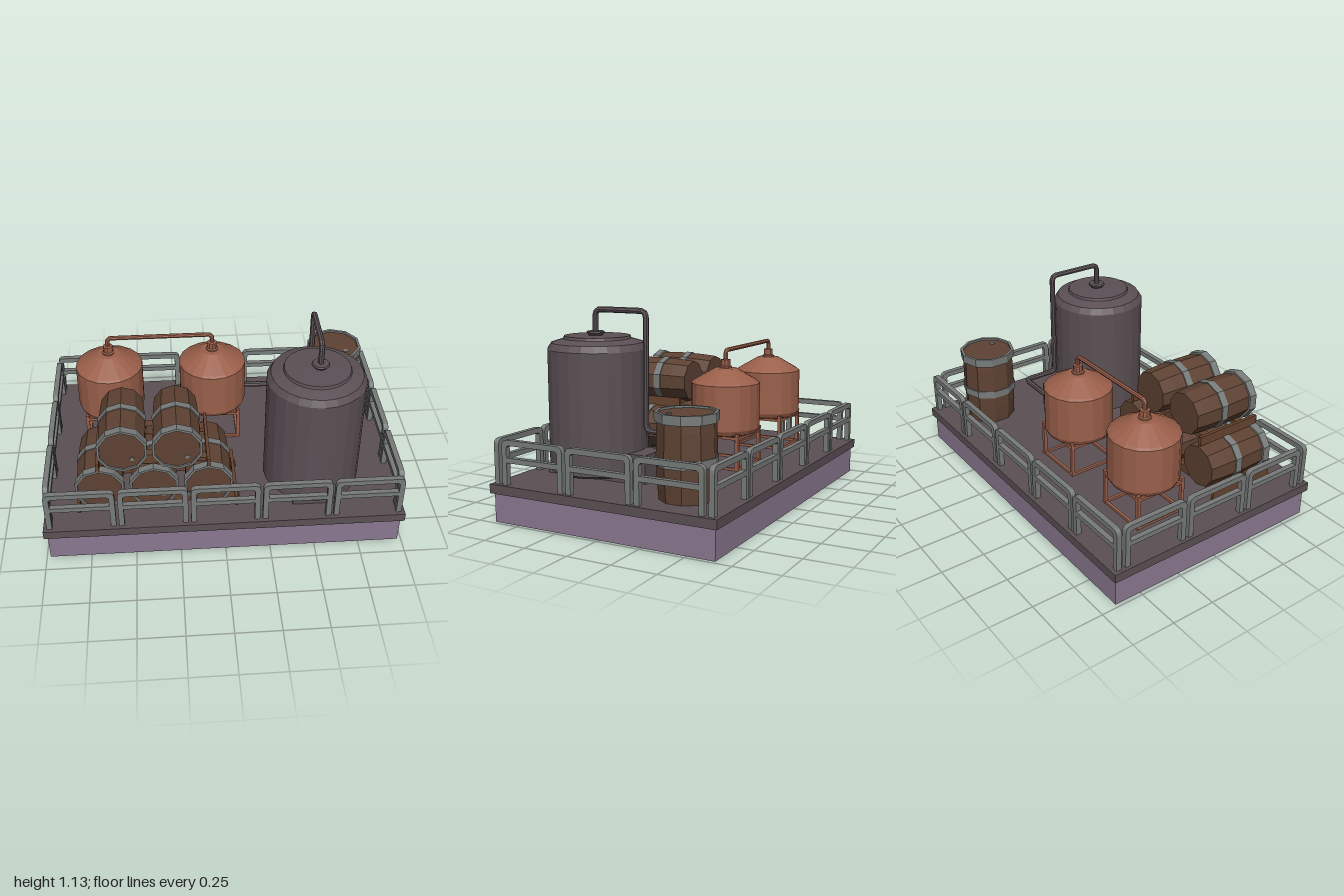
import * as THREE from 'three';

const mat = (name, color) => {
  const m = new THREE.MeshStandardMaterial({ color, flatShading: true });
  m.name = name;
  return m;
};

export function createModel() {
  const root = new THREE.Group();
  root.name = 'distilleryPlatform';
  const deck = mat('darkSteel', 0x5b5055);
  const plinthMat = mat('mauveStone', 0x8a7890);
  const metal = mat('greyMetal', 0x777b79);
  const copper = mat('copper', 0x9a5f4a);
  const wood = mat('barrelWood', 0x5e4233);
  const beamWood = mat('rackWood', 0x67442f);

  const add = (parent, name, geo, material, x = 0, y = 0, z = 0) => {
    const m = new THREE.Mesh(geo, material);
    m.name = name;
    m.position.set(x, y, z);
    parent.add(m);
    return m;
  };
  const group = (name, x = 0, y = 0, z = 0) => {
    const g = new THREE.Group();
    g.name = name;
    g.position.set(x, y, z);
    root.add(g);
    return g;
  };
  const box = (parent, name, material, w, h, d, x, y, z) =>
    add(parent, name, new THREE.BoxGeometry(w, h, d), material, x, y, z);
  const lathe = (profile, sides) =>
    new THREE.LatheGeometry(profile.map(([r, y]) => new THREE.Vector2(r, y)), sides);

  // Pipe through points with rounded bends
  const pipe = (parent, name, material, points, radius, bend) => {
    const p = points.map((a) => new THREE.Vector3(...a));
    const path = new THREE.CurvePath();
    let from = p[0];
    for (let i = 1; i < p.length - 1; i++) {
      const a = p[i].clone().add(p[i - 1].clone().sub(p[i]).setLength(bend));
      const b = p[i].clone().add(p[i + 1].clone().sub(p[i]).setLength(bend));
      path.add(new THREE.LineCurve3(from, a));
      path.add(new THREE.QuadraticBezierCurve3(a, p[i], b));
      from = b;
    }
    path.add(new THREE.LineCurve3(from, p[p.length - 1]));
    return add(parent, name, new THREE.TubeGeometry(path, 90, radius, 8), material);
  };

  // Platform
  box(root, 'plinth', plinthMat, 1.96, 0.16, 1.31, 0, 0.08, 0);
  box(root, 'deck', deck, 2, 0.05, 1.345, 0, 0.185, 0);

  // Railing panels: rounded frame on two posts with a middle rail
  const panelGeometry = (w) => {
    const h = w / 2, t = 0.03, top = 0.245, c = 0.035;
    const s = new THREE.Shape();
    s.moveTo(-h, 0);
    s.lineTo(-h, top - c);
    s.quadraticCurveTo(-h, top, -h + c, top);
    s.lineTo(h - c, top);
    s.quadraticCurveTo(h, top, h, top - c);
    s.lineTo(h, 0);
    s.lineTo(h - t, 0);
    s.lineTo(h - t, 0.122);
    s.lineTo(-h + t, 0.122);
    s.lineTo(-h + t, 0);
    const hole = new THREE.Path();
    hole.moveTo(-h + t, 0.15);
    hole.lineTo(h - t, 0.15);
    hole.lineTo(h - t, top - t - 0.01);
    hole.lineTo(h - t - 0.01, top - t);
    hole.lineTo(-h + t + 0.01, top - t);
    hole.lineTo(-h + t, top - t - 0.01);
    s.holes.push(hole);
    return new THREE.ExtrudeGeometry(s, { depth: 0.03, bevelEnabled: false, curveSegments: 4 })
      .translate(0, 0, -0.015);
  };
  const railing = group('railing', 0, 0.21, 0);
  const longPanel = panelGeometry(0.38), sidePanel = panelGeometry(0.385);
  for (const side of [-1, 1]) {
    for (let i = -2; i <= 2; i++) add(railing, 'longRailing', longPanel, metal, i * 0.395, 0, side * 0.635);
    for (let i = -1; i <= 1; i++)
      add(railing, 'sideRailing', sidePanel, metal, side * 0.968, 0, i * 0.405).rotation.y = Math.PI / 2;
  }

  // Big steel tank
  const tank = group('steelTank', 0.515, 0, 0.3);
  add(tank, 'tankBody', lathe([[0, 0.235], [0.25, 0.235], [0.272, 0.25], [0.272, 0.905], [0.25, 0.94],
    [0.185, 0.96], [0.18, 0.975], [0, 0.977]], 24), deck);
  box(tank, 'tankFoot', deck, 0.26, 0.03, 0.5, 0, 0.223, 0);
  add(tank, 'tankNozzle', lathe([[0, 0.97], [0.032, 0.97], [0.05, 0.993], [0.045, 1.0], [0, 1.0]], 12), deck, 0.015);
  pipe(root, 'steelPipe', deck, [[0.53, 0.98, 0.3], [0.53, 1.117, 0.3], [0.535, 1.117, -0.02],
    [0.54, 0.48, -0.02], [0.54, 0.48, -0.228], [0.15, 0.48, -0.235]], 0.016, 0.035);
  box(root, 'pumpBox', deck, 0.19, 0.155, 0.11, 0.527, 0.287, -0.005);

  // Copper stills on leg frames
  for (const x of [-0.627, -0.018]) {
    const still = group('copperStill', x, 0, -0.215);
    add(still, 'kettle', lathe([[0, 0.375], [0.13, 0.385], [0.185, 0.405], [0.197, 0.43], [0.197, 0.685],
      [0.185, 0.695], [0.065, 0.765], [0, 0.77]], 18), copper);
    add(still, 'neck', lathe([[0.036, 0.755], [0.036, 0.775], [0.028, 0.78], [0.028, 0.815], [0, 0.818]], 10), copper);
    for (const s of [-1, 1]) {
      for (const t of [-1, 1]) box(still, 'stillLeg', copper, 0.02, 0.21, 0.02, s * 0.145, 0.315, t * 0.145);
      box(still, 'footBarX', copper, 0.29, 0.014, 0.016, 0, 0.217, s * 0.145);
      box(still, 'footBarZ', copper, 0.016, 0.014, 0.29, s * 0.145, 0.217, 0);
      box(still, 'topBarX', copper, 0.29, 0.016, 0.016, 0, 0.392, s * 0.145);
      box(still, 'topBarZ', copper, 0.016, 0.016, 0.29, s * 0.145, 0.392, 0);
    }
  }
  pipe(root, 'copperPipe', copper, [[-0.627, 0.8, -0.215], [-0.627, 0.867, -0.215],
    [-0.018, 0.867, -0.215], [-0.018, 0.8, -0.215]], 0.013, 0.025);

  // Barrel standing on its end: radius r at the top hoop, length h
  const barrel = (r, h) => {
    const b = new THREE.Group();
    b.name = 'barrel';
    add(b, 'staves', lathe([[0, 0], [0.87 * r, 0], [0.92 * r, 0.22 * h], [0.95 * r, 0.5 * h],
      [0.93 * r, 0.8 * h], [0.9 * r, 0.975 * h], [0, 0.975 * h]], 10), wood);
    add(b, 'topHoop', lathe([[0.88 * r, 0.89 * h], [r, 0.89 * h], [r, h], [0.9 * r, h], [0.9 * r, 0.96 * h]], 10), metal);
    add(b, 'middleHoop', lathe([[0.9 * r, 0.4 * h], [0.985 * r, 0.4 * h], [0.985 * r, 0.5 * h], [0.9 * r, 0.5 * h]], 10), metal);
    add(b, 'bung', new THREE.CylinderGeometry(0.09 * r, 0.09 * r, 0.009, 8), metal, 0.37 * r, 0.977 * h, 0.42 * r);
    root.add(b);
    return b;
  };
  barrel(0.164, 0.445).position.set(0.745, 0.21, -0.378);
  const lying = [[-0.683, 0.37], [-0.385, 0.37], [-0.085, 0.37], [-0.547, 0.637], [-0.252, 0.637]];
  for (const [x, y] of lying) {
    const b = barrel(0.14, 0.412);
    b.position.set(x, y, 0.118);
    b.rotation.x = Math.PI / 2;
  }

  // Wooden racks under each barrel row, with wedges between barrels
  const wedge = new THREE.Shape([[-0.07, 0], [0.07, 0], [0.025, 0.045], [-0.025, 0.045]]
    .map(([x, y]) => new THREE.Vector2(x, y)));
  const wedgeGeometry = new THREE.ExtrudeGeometry(wedge, { depth: 0.05, bevelEnabled: false });
  const rack = (name, x0, x1, y, gaps) => {
    const g = group(name, 0, y, 0);
    for (const z of [0.2, 0.45]) {
      box(g, 'rackBeam', beamWood, x1 - x0, 0.025, 0.05, (x0 + x1) / 2, 0.0125, z);
      for (const x of gaps) add(g, 'rackWedge', wedgeGeometry, beamWood, x, 0.015, z - 0.025);
    }
    for (const x of [x0, x1]) box(g, 'rackEndRail', beamWood, 0.018, 0.055, 0.41, x, 0.0275, 0.325);
  };
  rack('lowerRack', -0.81, 0.07, 0.21, [-0.534, -0.235, 0.02]);
  rack('upperRack', -0.685, -0.085, 0.5, [-0.4]);

  return root;
}
